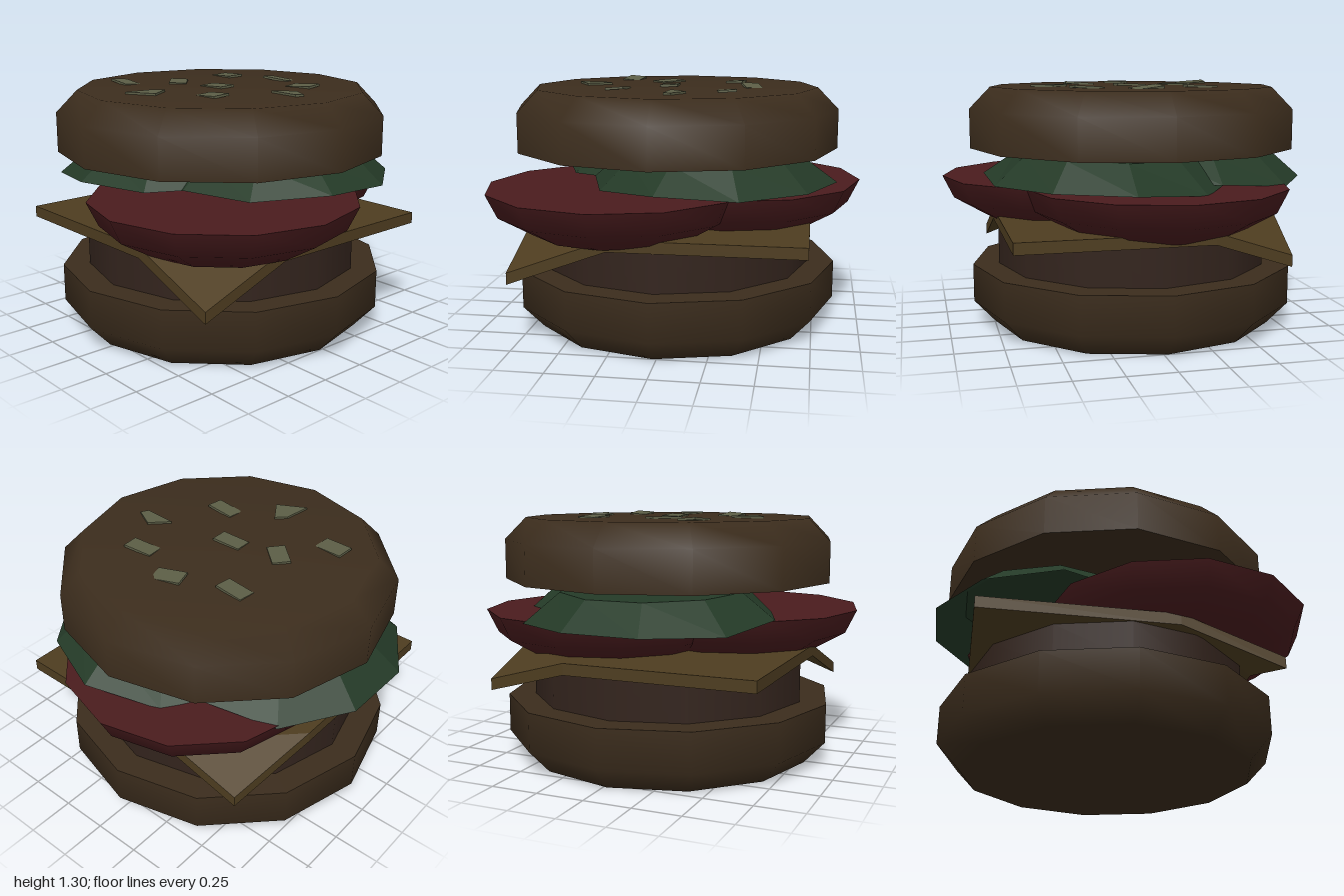
import * as THREE from 'three';

const V = (x, y) => new THREE.Vector2(x, y);
const mat = (color, extra = {}) => new THREE.MeshStandardMaterial({ color, ...extra });

export function createModel() {
  const model = new THREE.Group();
  const bunMat = mat(0x3c2d1d);
  const pattyMat = mat(0x33241d);
  const cheeseMat = mat(0x4e3d20, { flatShading: true });
  const tomatoMat = mat(0x4a1c1e);
  const lettuceMat = mat(0x243a27, { flatShading: true, side: THREE.DoubleSide });
  const seedMat = mat(0x5c5e46, { flatShading: true });

  const add = (name, geometry, material, x = 0, y = 0, z = 0) => {
    const mesh = new THREE.Mesh(geometry, material);
    mesh.name = name;
    mesh.position.set(x, y, z);
    model.add(mesh);
    return mesh;
  };
  // Twelve-sided turned solid; a repeated profile point makes a sharp edge
  const turned = (profile) => new THREE.LatheGeometry(profile.map(([r, y]) => V(r, y)), 12);
  // Flat plate from [x, z] corners, extruded upwards
  const plate = (corners, depth) => new THREE.ExtrudeGeometry(
    new THREE.Shape(corners.map(([x, z]) => V(x, -z))), { depth, bevelEnabled: false },
  ).rotateX(-Math.PI / 2);

  // Buns
  add('bottomBun', turned([[0, 0], [0.77, 0], [0.882, 0.12], [0.882, 0.325], [0.882, 0.325], [0, 0.325]]),
    bunMat, -0.022, 0, 0.02);
  add('topBun', turned([[0, 0], [0.882, 0], [0.882, 0], [0.882, 0.21], [0.77, 0.325], [0, 0.325]]),
    bunMat, -0.022, 0.957, 0.02);

  // Patty
  add('patty', turned([[0, 0], [0.74, 0], [0.74, 0], [0.74, 0.21], [0.74, 0.21], [0, 0.21]]),
    pattyMat, -0.02, 0.32, 0.02);

  // Cheese: flat middle with two opposite corners folded down
  const cheese = new THREE.Group();
  cheese.name = 'cheeseSlice';
  model.add(cheese);
  const foldA = [[0.215, 0.765], [0.725, 0.255]];
  const foldB = [[-0.27, -0.73], [-0.77, -0.23]];
  const pieces = [
    ['cheeseMiddle', [[-0.77, 0.765], ...foldA, [0.725, -0.73], ...foldB]],
    ['frontCheeseCorner', [foldA[0], [0.725, 0.765], foldA[1]]],
    ['backCheeseCorner', [foldB[0], [-0.68, -0.71], foldB[1]]],
  ];
  for (const [name, corners] of pieces) {
    const geo = plate(corners, 0.06);
    const pos = geo.attributes.position;
    for (let i = 0; i < pos.count; i++) {
      const s = pos.getX(i) + pos.getZ(i);
      const drop = Math.max(0, s - 0.98) * 0.37 + Math.max(0, -1 - s) * 0.35;
      pos.setY(i, pos.getY(i) - drop);
    }
    geo.computeVertexNormals();
    const mesh = new THREE.Mesh(geo, cheeseMat);
    mesh.name = name;
    mesh.position.y = 0.53;
    cheese.add(mesh);
  }

  // Tomato slices
  const slice = turned([[0, 0], [0.45, 0], [0.64, 0.11], [0.7, 0.235], [0.7, 0.235], [0, 0.235]]);
  add('frontTomatoSlice', slice, tomatoMat, 0.3, 0.545, 0.28);
  add('backTomatoSlice', slice, tomatoMat, -0.08, 0.543, -0.29);

  // Lettuce leaves: shallow ten-sided caps, tilted and uneven at the rim
  const leaf = (name, x, z, turn, yShift) => {
    const geo = new THREE.LatheGeometry([V(0.65, 0), V(0.48, 0.14), V(0, 0.155)], 10);
    const pos = geo.attributes.position;
    for (let i = 0; i < pos.count; i++) {
      const px = pos.getX(i), pz = pos.getZ(i);
      const r = Math.hypot(px, pz), a = Math.atan2(pz, px);
      const k = r > 0.6 ? 1 + 0.025 * Math.sin(3 * a + turn) : 1;
      const wave = r > 0.6 ? 0.012 * Math.sin(4 * a + turn) : 0;
      pos.setXYZ(i, px * k, pos.getY(i) + wave + px * 0.03, pz * k);
    }
    geo.computeVertexNormals();
    add(name, geo, lettuceMat, x, yShift, z);
  };
  leaf('leftLettuceLeaf', -0.35, 0.07, 1.5, 0.789);
  leaf('rightLettuceLeaf', 0.16, -0.2, 0.6, 0.797);

  // Sesame seeds: [x, z, turn in degrees, tilt]
  const seedSpots = [
    [-0.32, -0.285, -4, 0.05], [0, -0.4, 15, -0.08], [0.285, -0.29, 8, 0.06], [-0.02, 0.05, 3, 0.04],
    [-0.46, 0.335, -6, -0.08], [0.22, 0.29, -3, 0.08], [-0.29, 0.1, -42, -0.05],
  ];
  for (const [x, z, turn, tilt] of seedSpots) {
    const seed = add('seed', new THREE.BoxGeometry(0.16, 0.012, 0.095), seedMat, x, 1.285, z);
    seed.rotation.set(tilt, THREE.MathUtils.degToRad(turn), tilt);
  }
  const oddSeeds = [
    [[0.34, -0.01], [0.52, 0], [0.54, -0.04], [0.43, -0.1]],
    [[-0.12, 0.58], [0.03, 0.5], [-0.05, 0.38], [-0.1, 0.43]],
  ];
  for (const corners of oddSeeds) add('seed', plate(corners, 0.015), seedMat, 0, 1.278, 0);

  return model;
}
